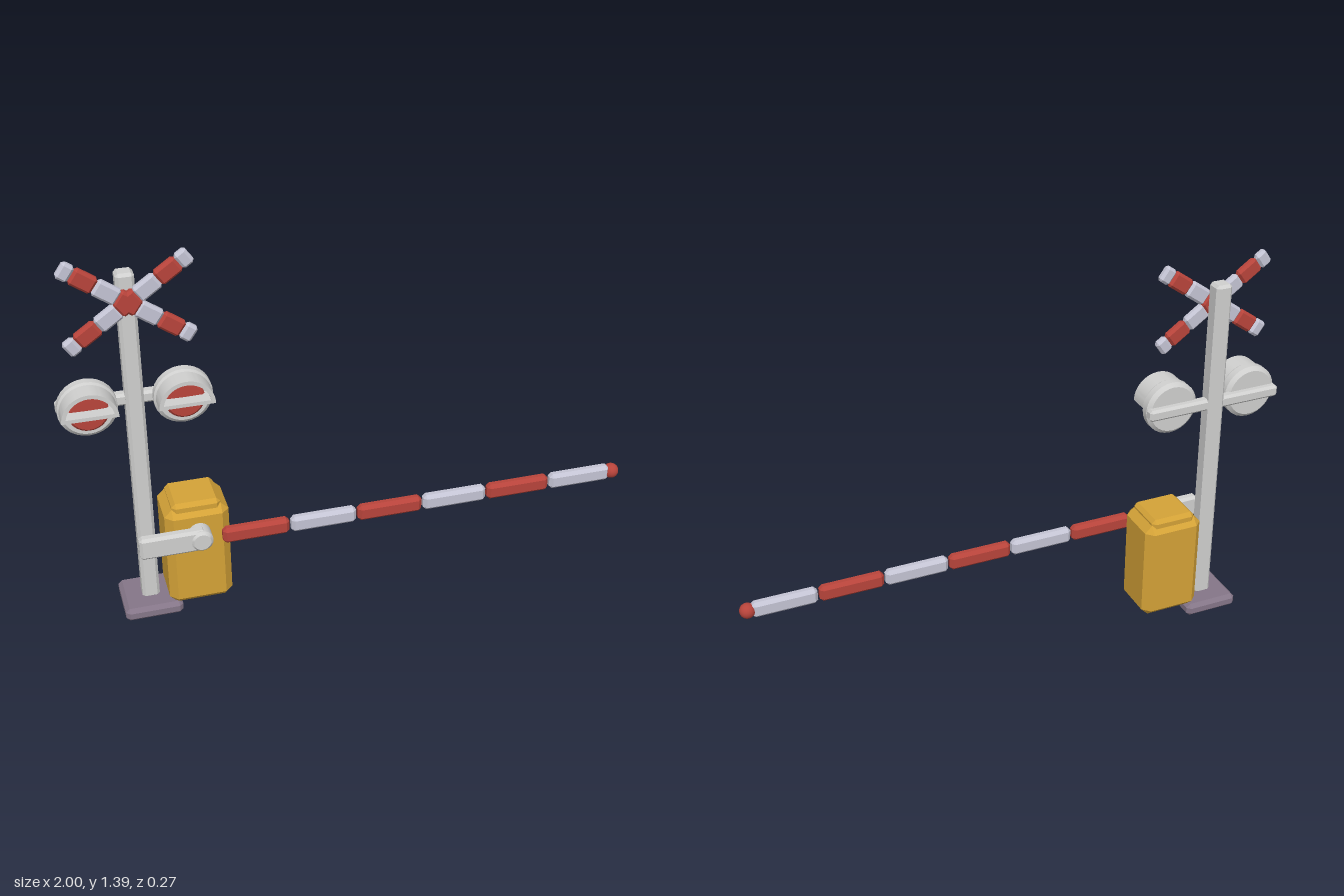
import * as THREE from 'three';
import { toCreasedNormals } from 'three/addons/utils/BufferGeometryUtils.js';
import { ConvexGeometry } from 'three/addons/geometries/ConvexGeometry.js';

const material = (name, color) => {
  const m = new THREE.MeshStandardMaterial({ color });
  m.name = name;
  return m;
};

// Box with every edge cut at 45 degrees
function chamferBox(w, h, d, c) {
  const points = [];
  for (const x of [-w / 2, w / 2]) for (const y of [-h / 2, h / 2]) for (const z of [-d / 2, d / 2]) {
    const ix = x - Math.sign(x) * c, iy = y - Math.sign(y) * c, iz = z - Math.sign(z) * c;
    points.push(
      new THREE.Vector3(x, iy, iz),
      new THREE.Vector3(ix, y, iz),
      new THREE.Vector3(ix, iy, z)
    );
  }
  return new ConvexGeometry(points);
}

// Turned part whose axis is z; profile is [radius, z] from back to front
function turned(profile, sides = 28) {
  const g = new THREE.LatheGeometry(profile.map(p => new THREE.Vector2(p[0], p[1])), sides);
  g.rotateX(Math.PI / 2);
  return toCreasedNormals(g, 0.5);
}

export function createModel() {
  const grey = material('light grey metal', 0xcfcfce);
  const white = material('cool white', 0xc4c4d4);
  const red = material('signal red', 0xb8443b);
  const yellow = material('cabinet yellow', 0xd4a237);
  const mauve = material('base mauve', 0x857688);

  const model = new THREE.Group();
  model.name = 'levelCrossingBarrier';

  function add(parent, name, geometry, mat, x, y, z) {
    const mesh = new THREE.Mesh(geometry, mat);
    mesh.name = name;
    mesh.position.set(x, y, z);
    parent.add(mesh);
    return mesh;
  }

  // Base and post
  const postX = -0.74;
  add(model, 'base', chamferBox(0.205, 0.05, 0.205, 0.014), mauve, postX, 0.025, -0.033);
  add(model, 'post', chamferBox(0.062, 1.27, 0.062, 0.01), grey, postX, 0.677, -0.031);

  // Motor cabinet with its lid
  add(model, 'cabinet', chamferBox(0.226, 0.39, 0.197, 0.027), yellow, -0.568, 0.235, -0.027);
  add(model, 'cabinetLid', chamferBox(0.172, 0.05, 0.165, 0.014), yellow, -0.568, 0.426, -0.027);

  // Striped barrier arm, pivot and counterweight
  const arm = new THREE.Group();
  arm.name = 'barrierArm';
  arm.position.set(0, 0.338, 0.107);
  model.add(arm);
  const pitch = 0.243;
  for (let i = 0; i < 6; i++) {
    add(arm, 'armSegment', chamferBox(0.236, 0.06, 0.04, 0.012), i % 2 ? white : red,
      -0.492 + pitch * i + 0.118, 0, 0);
  }
  add(arm, 'armTip', new THREE.SphereGeometry(0.028, 20, 14), red, 0.972, 0, 0);
  add(arm, 'counterweight', chamferBox(0.23, 0.084, 0.04, 0.01), grey, -0.667, 0, 0);
  add(arm, 'pivot', turned([[0, -0.06], [0.04, -0.06], [0.04, 0.017], [0.03, 0.027], [0, 0.027]], 20),
    grey, -0.567, 0, 0);

  // Crossed boards with red and white bands
  const cross = new THREE.Group();
  cross.name = 'crossedBoards';
  cross.position.set(postX, 1.222, 0.016);
  model.add(cross);
  const bands = [[0.036, 0.122, white], [0.122, 0.206, red], [0.206, 0.251, white]];
  const tilt = 35 * Math.PI / 180;
  for (const angle of [tilt, -tilt]) {
    const board = new THREE.Group();
    board.name = 'crossBoard';
    board.rotation.z = angle;
    cross.add(board);
    add(board, 'boardCentre', chamferBox(0.084, 0.062, 0.032, 0.009), red, 0, 0, 0);
    for (const side of [-1, 1]) for (const [a, b, mat] of bands) {
      add(board, 'boardBand', chamferBox(b - a, 0.06, 0.03, 0.009), mat, side * (a + b) / 2, 0, 0);
    }
  }

  // Crossbar carrying the two lamps
  add(model, 'lampCrossbar', chamferBox(0.52, 0.044, 0.04, 0.009), grey, postX, 0.853, -0.033);

  // Half-round hood with a thin floor
  const hoodShape = new THREE.Shape();
  hoodShape.absarc(0, 0, 0.094, 0, Math.PI, false);
  hoodShape.closePath();
  const opening = new THREE.Path();
  const start = Math.asin(0.013 / 0.08);
  opening.absarc(0, 0, 0.08, start, Math.PI - start, false);
  opening.closePath();
  hoodShape.holes.push(opening);
  const hoodGeometry = toCreasedNormals(new THREE.ExtrudeGeometry(hoodShape,
    { depth: 0.07, bevelEnabled: false, curveSegments: 18 }), 0.5);

  const housing = turned([[0, -0.028], [0.086, -0.028], [0.1, -0.015], [0.1, 0.012], [0.086, 0.025], [0, 0.025]]);
  const lens = turned([[0, 0.02], [0.068, 0.02], [0.068, 0.036], [0.06, 0.044], [0, 0.046]]);
  for (const side of [-1, 1]) {
    const lamp = new THREE.Group();
    lamp.name = side < 0 ? 'rightLamp' : 'leftLamp';
    lamp.position.set(postX + side * 0.159, 0.855, 0);
    model.add(lamp);
    add(lamp, 'lampHousing', housing, grey, 0, 0, 0);
    add(lamp, 'lampLens', lens, red, 0, 0, 0);
    add(lamp, 'lampHood', hoodGeometry, grey, 0, 0, 0.021);
  }

  return model;
}
